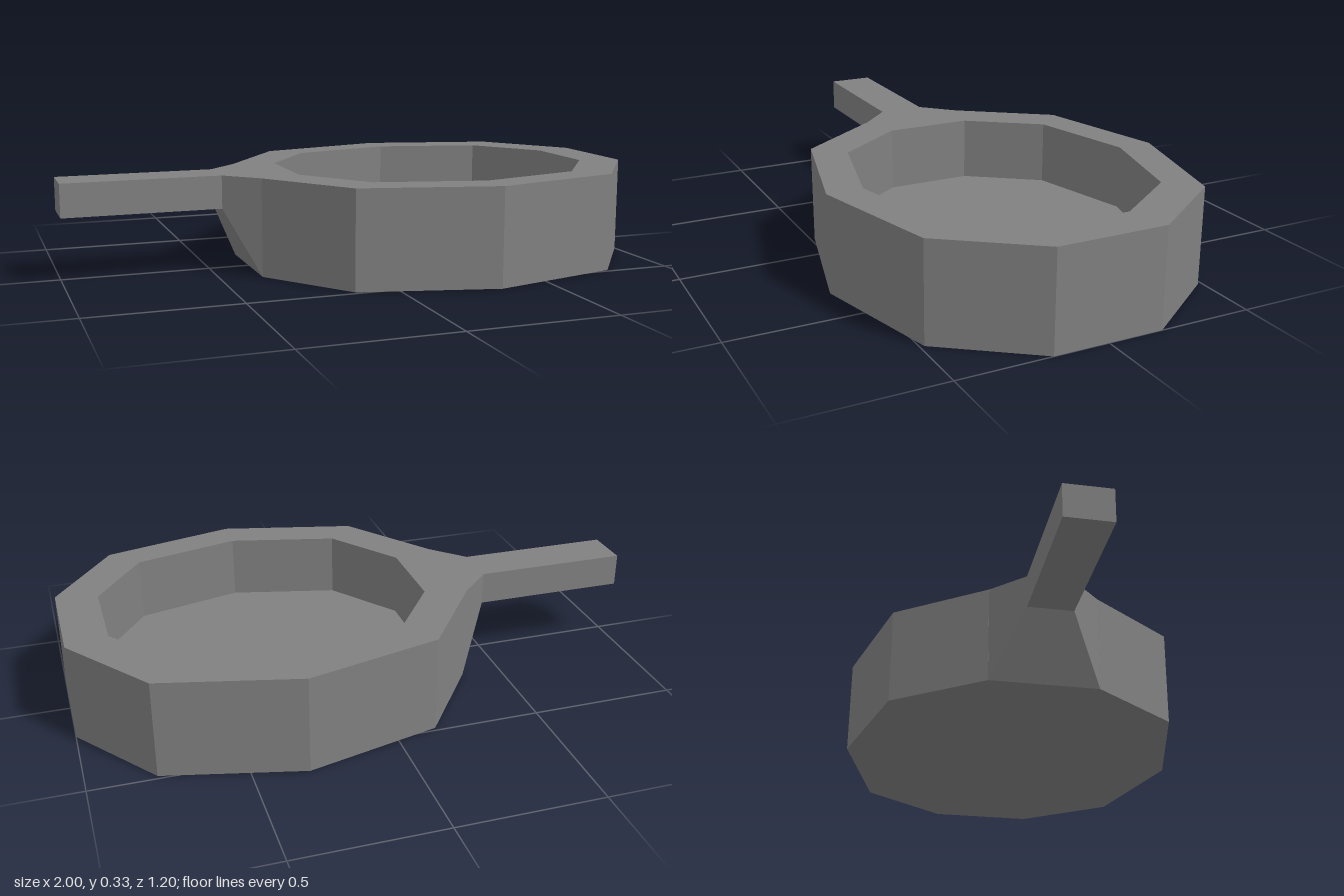
import * as THREE from 'three';

// Joins matching rings of points with quads; optional flat caps on the first and last ring.
function loft(rings, capStart, capEnd) {
  const pos = [];
  const tri = (a, b, c) => pos.push(...a, ...b, ...c);
  const n = rings[0].length;
  for (let r = 0; r < rings.length - 1; r++) {
    const lo = rings[r], hi = rings[r + 1];
    for (let i = 0; i < n; i++) {
      const j = (i + 1) % n;
      tri(lo[i], lo[j], hi[j]);
      tri(lo[i], hi[j], hi[i]);
    }
  }
  const first = rings[0], last = rings[rings.length - 1];
  for (let i = 1; i < n - 1; i++) {
    if (capStart) tri(first[0], first[i + 1], first[i]);
    if (capEnd) tri(last[0], last[i], last[i + 1]);
  }
  const geometry = new THREE.BufferGeometry();
  geometry.setAttribute('position', new THREE.Float32BufferAttribute(pos, 3));
  geometry.computeVertexNormals();
  return geometry;
}

// Ten-sided outline, stretched along x, counter-clockwise from above.
const CENTER_X = 0.32;
function decagon(wide, mid, depth, y) {
  const z1 = depth * Math.cos(Math.PI / 5), z2 = depth * Math.cos(Math.PI * 2 / 5);
  const half = [[wide, -z2], [mid, -z1], [0, -depth], [-mid, -z1], [-wide, -z2]];
  return [...half, ...half.map(([x, z]) => [-x, -z])].map(([x, z]) => [CENTER_X + x, y, z]);
}

// Upright rectangle across the handle.
const section = (x, halfWidth, bottom, top) => [
  [x, bottom, halfWidth], [x, top, halfWidth], [x, top, -halfWidth], [x, bottom, -halfWidth],
];

export function createModel() {
  const model = new THREE.Group();
  model.name = 'pan';
  const grey = new THREE.MeshStandardMaterial({ color: 0x808080 });
  grey.name = 'grey metal';
  const add = (name, geometry) => {
    const mesh = new THREE.Mesh(geometry, grey);
    mesh.name = name;
    model.add(mesh);
  };
  const TOP = 0.333, FLOOR = 0.115, GRIP = 0.22;

  // Outer wall, rim, inner wall and both faces of the base
  add('bowl', loft([
    decagon(0.68, 0.46, 0.6, 0),
    decagon(0.68, 0.46, 0.6, TOP),
    decagon(0.539, 0.365, 0.478, TOP),
    decagon(0.539, 0.365, 0.478, FLOOR),
  ], true, true));

  // Neck tapers from one bowl side into the straight grip
  add('handle', loft([
    section(-0.36, 0.185, 0, TOP),
    section(-0.468, 0.078, GRIP, TOP),
    section(-1, 0.078, GRIP, TOP),
  ], false, true));

  return model;
}
